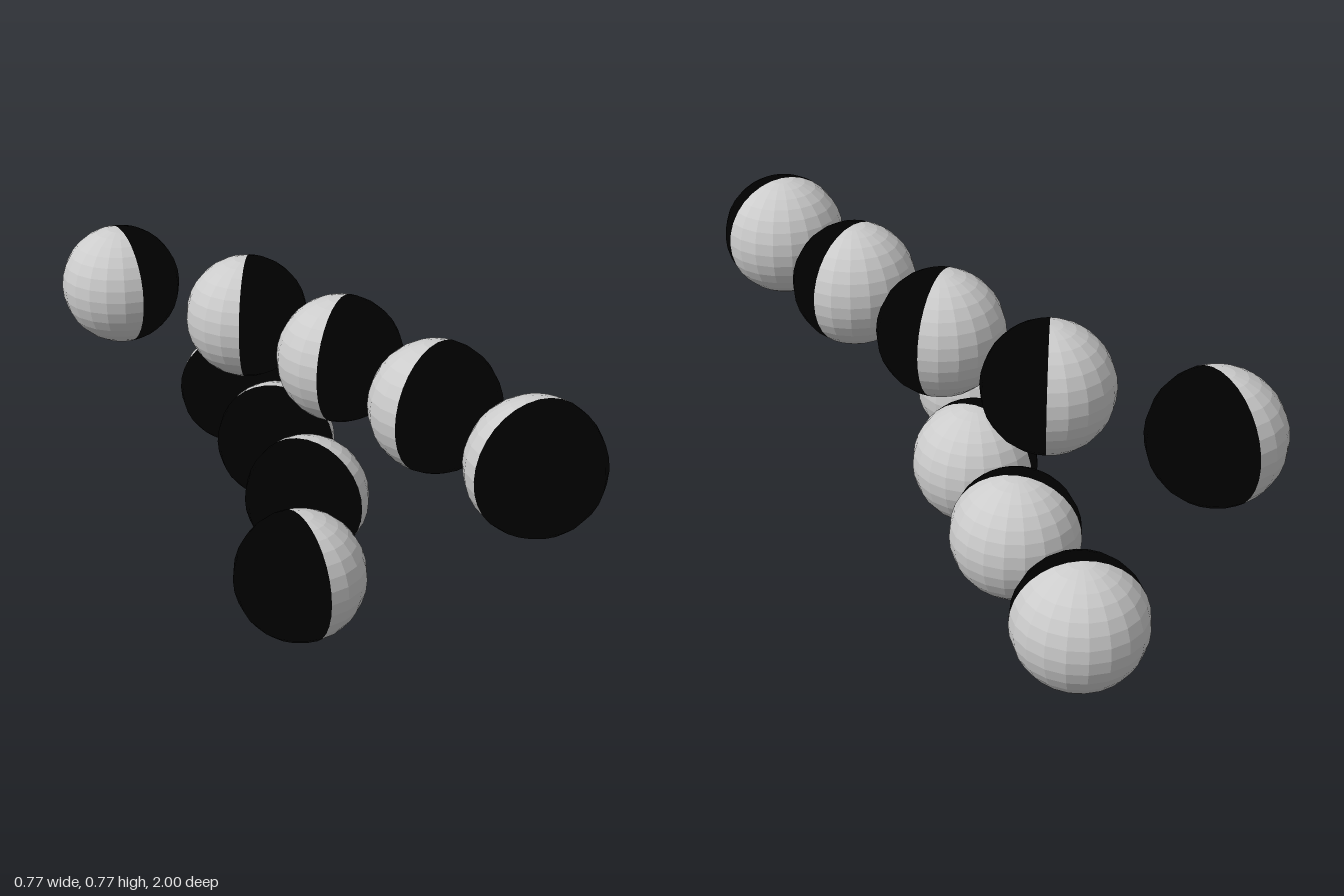
import * as THREE from 'three';

const R = 0.178;

export function createModel() {
  const model = new THREE.Group();
  model.name = 'twoToneBalls';

  const grey = new THREE.MeshStandardMaterial({ color: 0xcccccc, flatShading: true });
  const black = new THREE.MeshStandardMaterial({ color: 0x000000, flatShading: true });

  // Half shells: the dark one faces +z, the light one -z
  const darkHalf = new THREE.SphereGeometry(R, 10, 16, 0, Math.PI);
  const lightHalf = new THREE.SphereGeometry(R, 10, 16, Math.PI, Math.PI);

  // A ball whose dark half is turned by a heading in degrees (+ is towards +x)
  function addBall(name, x, y, z, heading) {
    const ball = new THREE.Group();
    ball.name = name;
    const dark = new THREE.Mesh(darkHalf, black);
    dark.name = 'darkHalf';
    const light = new THREE.Mesh(lightHalf, grey);
    light.name = 'lightHalf';
    ball.add(dark, light);
    ball.position.set(x, y, z);
    ball.rotation.y = THREE.MathUtils.degToRad(heading);
    model.add(ball);
  }

  // Rows run front to back: [x, z, heading]
  const upperRow = [
    [0.207, 0.822, 1], [0.175, 0.403, 24], [0.109, 0.004, 40.5],
    [0.018, -0.404, 57], [-0.208, -0.822, 90],
  ];
  const lowerRow = [
    [-0.208, 0.378, -90], [0.018, -0.02, -57], [0.109, -0.401, -40.5], [0.173, -0.822, -25],
  ];
  upperRow.forEach(([x, z, a], i) => addBall(`upperBall${i + 1}`, x, 0.597, z, a));
  lowerRow.forEach(([x, z, a], i) => addBall(`lowerBall${i + 1}`, x, R, z, a));

  return model;
}
